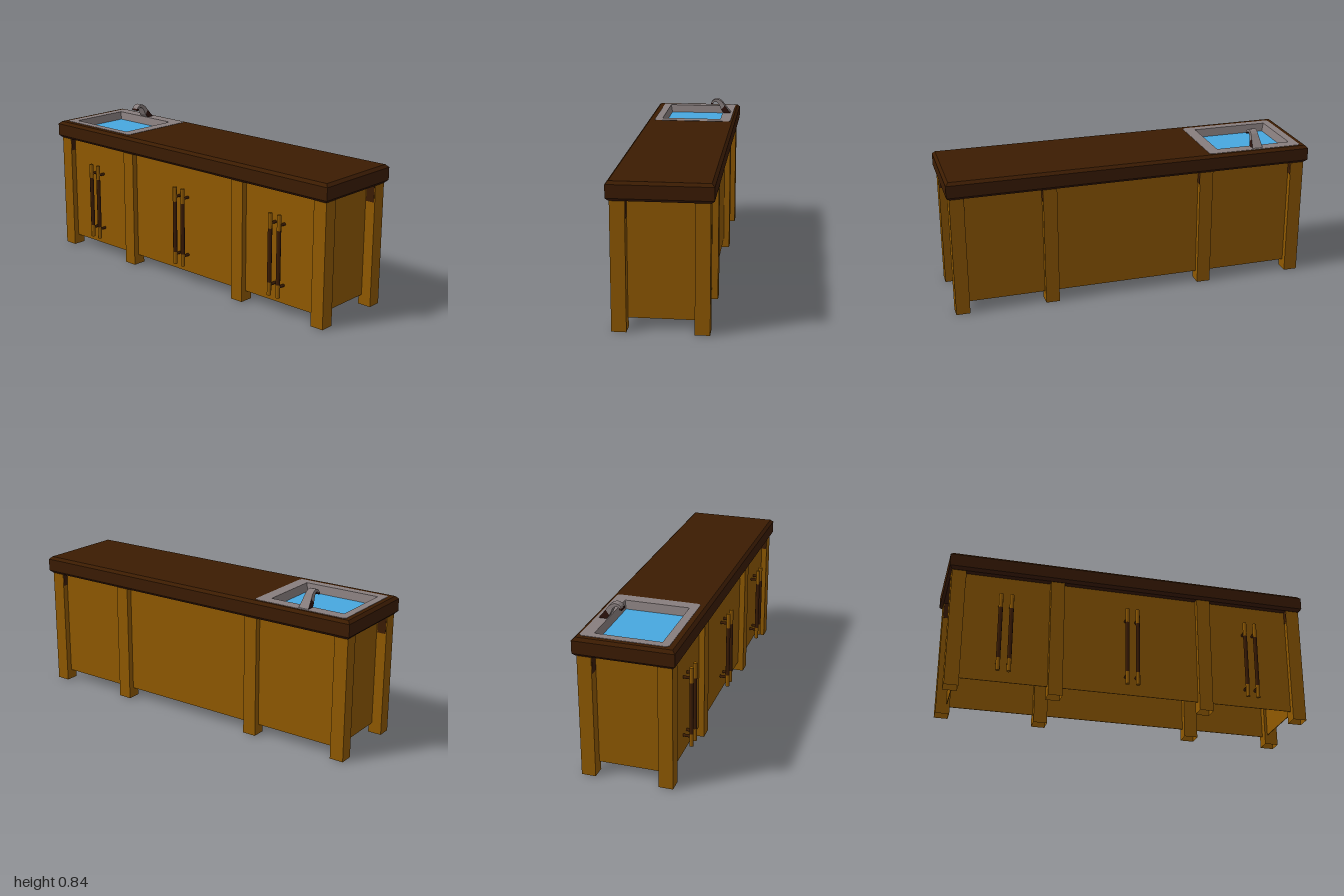
import * as THREE from 'three';

const mat = (name, color, extra = {}) => {
  const m = new THREE.MeshStandardMaterial({ color, ...extra });
  m.name = name;
  return m;
};

export function createModel() {
  const group = new THREE.Group();
  group.name = 'sinkCounter';
  const wood = mat('honeyWood', 0x915a00, { side: THREE.DoubleSide });
  const dark = mat('darkWood', 0x3c1c02);
  const steel = mat('steel', 0x887e7e, { side: THREE.DoubleSide });
  const shade = mat('darkSteel', 0x2c120c);
  const blue = mat('water', 0x48a8e0);

  const add = (name, geo, material, x = 0, y = 0, z = 0) => {
    const m = new THREE.Mesh(geo, material);
    m.name = name;
    m.position.set(x, y, z);
    group.add(m);
    return m;
  };
  // Box given by its limits on each axis
  const box = (name, material, x0, x1, y0, y1, z0, z1) =>
    add(name, new THREE.BoxGeometry(x1 - x0, y1 - y0, z1 - z0), material,
      (x0 + x1) / 2, (y0 + y1) / 2, (z0 + z1) / 2);
  // Four-sided open tube with half-sizes hx, hz; the bottom may be smaller
  const openTube = (hx, hz, height, taper) => {
    const g = new THREE.CylinderGeometry(Math.SQRT2, Math.SQRT2 * taper, height, 4, 1, true)
      .rotateY(Math.PI / 4).scale(hx, 1, hz).toNonIndexed();
    g.computeVertexNormals();
    return g;
  };
  // Horizontal rectangle outline with clipped corners, for slabs
  const rect = (Type, cx, cz, hx, hz, c) => {
    const p = [[hx - c, -hz], [hx, -hz + c], [hx, hz - c], [hx - c, hz],
      [-hx + c, hz], [-hx, hz - c], [-hx, -hz + c], [-hx + c, -hz]];
    const pts = c > 0 ? p : [p[0], p[2], p[4], p[6]];
    return new Type(pts.map(([x, z]) => new THREE.Vector2(cx + x, z - cz)));
  };

  // Countertop with chamfered edges and a cut-out for the sink
  const sinkZ = -0.708;
  const top = rect(THREE.Shape, 0.0035, 0, 0.2435, 0.985, 0);
  top.holes.push(rect(THREE.Path, 0, sinkZ, 0.196, 0.236, 0));
  const topGeo = new THREE.ExtrudeGeometry(top, {
    depth: 0.067, bevelEnabled: true, bevelSegments: 1, bevelSize: 0.015, bevelThickness: 0.015,
  }).rotateX(-Math.PI / 2);
  add('countertop', topGeo, dark, 0, 0.675, 0);
  box('sinkSupport', dark, -0.195, 0.195, 0.661, 0.69, sinkZ - 0.235, sinkZ + 0.235);

  // Sink rim, tapered basin and water
  const rim = rect(THREE.Shape, 0.012, -0.697, 0.225, 0.265, 0.012);
  rim.holes.push(rect(THREE.Path, 0.002, sinkZ, 0.172, 0.212, 0));
  add('sinkRim', new THREE.ExtrudeGeometry(rim, { depth: 0.008, bevelEnabled: false })
    .rotateX(-Math.PI / 2), steel, 0, 0.751, 0);
  add('sinkBasin', openTube(0.172, 0.212, 0.05, 0.94), steel, 0.002, 0.733, sinkZ);
  box('water', blue, -0.162, 0.166, 0.708, 0.715, sinkZ - 0.201, sinkZ + 0.201);

  // Faucet pieces: side outlines extruded across, narrowing with height
  const faucetPart = (name, pts, materials) => {
    const g = new THREE.ExtrudeGeometry(new THREE.Shape(pts.map((p) => new THREE.Vector2(...p))),
      { depth: 1, bevelEnabled: false });
    const pos = g.attributes.position;
    for (let i = 0; i < pos.count; i++) {
      const half = 0.029 - 0.009 * Math.min(1, (pos.getY(i) - 0.757) / 0.07);
      pos.setZ(i, (pos.getZ(i) - 0.5) * 2 * half);
    }
    g.computeVertexNormals();
    add(name, g, materials, 0, 0, -0.715);
  };
  faucetPart('faucetBase', [[0.18, 0.757], [0.223, 0.757], [0.186, 0.803], [0.165, 0.777]], [shade, steel]);
  faucetPart('faucetNeck', [[0.165, 0.777], [0.186, 0.803], [0.17, 0.825], [0.154, 0.837], [0.137, 0.841],
    [0.121, 0.838], [0.109, 0.829], [0.102, 0.818], [0.115, 0.818], [0.122, 0.823], [0.135, 0.825],
    [0.15, 0.812]], [steel, steel]);
  faucetPart('faucetSpout', [[0.1, 0.808], [0.112, 0.808], [0.117, 0.819], [0.102, 0.819]], [shade, shade]);

  // Four hollow legs along each long side
  const sides = [
    { x: -0.2005, legs: [-0.9475, -0.4125, 0.4125, 0.9475] },
    { x: 0.206, legs: [-0.9475, -0.4125, 0.458, 0.9475] },
  ];
  for (const { x, legs } of sides) {
    for (const z of legs) add('leg', openTube(0.0373, 0.0375, 0.664, 1), wood, x, 0.332, z);
  }

  // Thin cabinet panels set back between the legs, open underneath
  box('sidePanel', wood, -0.207, -0.203, 0.055, 0.661, -0.93, 0.93);
  box('sidePanel', wood, 0.207, 0.211, 0.055, 0.661, -0.93, 0.93);
  for (const s of [-1, 1]) {
    const z = s * 0.927;
    box('endPanel', wood, -0.18, 0.18, 0.055, 0.661, z - 0.002, z + 0.002);
    // Dark trim at the top of the corner legs, beside the panels
    const zo = s * 0.957;
    box('legTrim', dark, -0.1635, -0.162, 0.57, 0.66, zo - 0.024, zo + 0.024);
    box('legTrim', dark, 0.167, 0.1685, 0.57, 0.66, zo - 0.024, zo + 0.024);
    const zi = s * 0.9095;
    box('legTrim', dark, -0.236, -0.207, 0.59, 0.66, zi - 0.001, zi + 0.001);
    box('legTrim', dark, 0.211, 0.241, 0.59, 0.66, zi - 0.001, zi + 0.001);
  }
  // The same trim on the front faces of the middle left legs
  for (const z of [-0.3745, 0.496]) box('legTrim', dark, 0.211, 0.241, 0.59, 0.66, z - 0.001, z + 0.001);

  // Paired door handles with brackets through the panel
  const bar = (name, material, y0, y1, z) =>
    add(name, new THREE.CylinderGeometry(0.0115, 0.0115, y1 - y0, 8), material, -0.2505, (y0 + y1) / 2, z);
  for (const c of [-0.69, 0, 0.677]) {
    for (const z of [c - 0.029, c + 0.029]) {
      bar('handleEnd', wood, 0.1, 0.17, z);
      bar('handleGrip', dark, 0.17, 0.46, z);
      bar('handleEnd', wood, 0.46, 0.542, z);
      for (const y of [0.155, 0.485]) {
        add('handleBracket', new THREE.CylinderGeometry(0.008, 0.008, 0.058, 8).rotateZ(Math.PI / 2),
          dark, -0.221, y, z);
      }
    }
  }
  return group;
}
